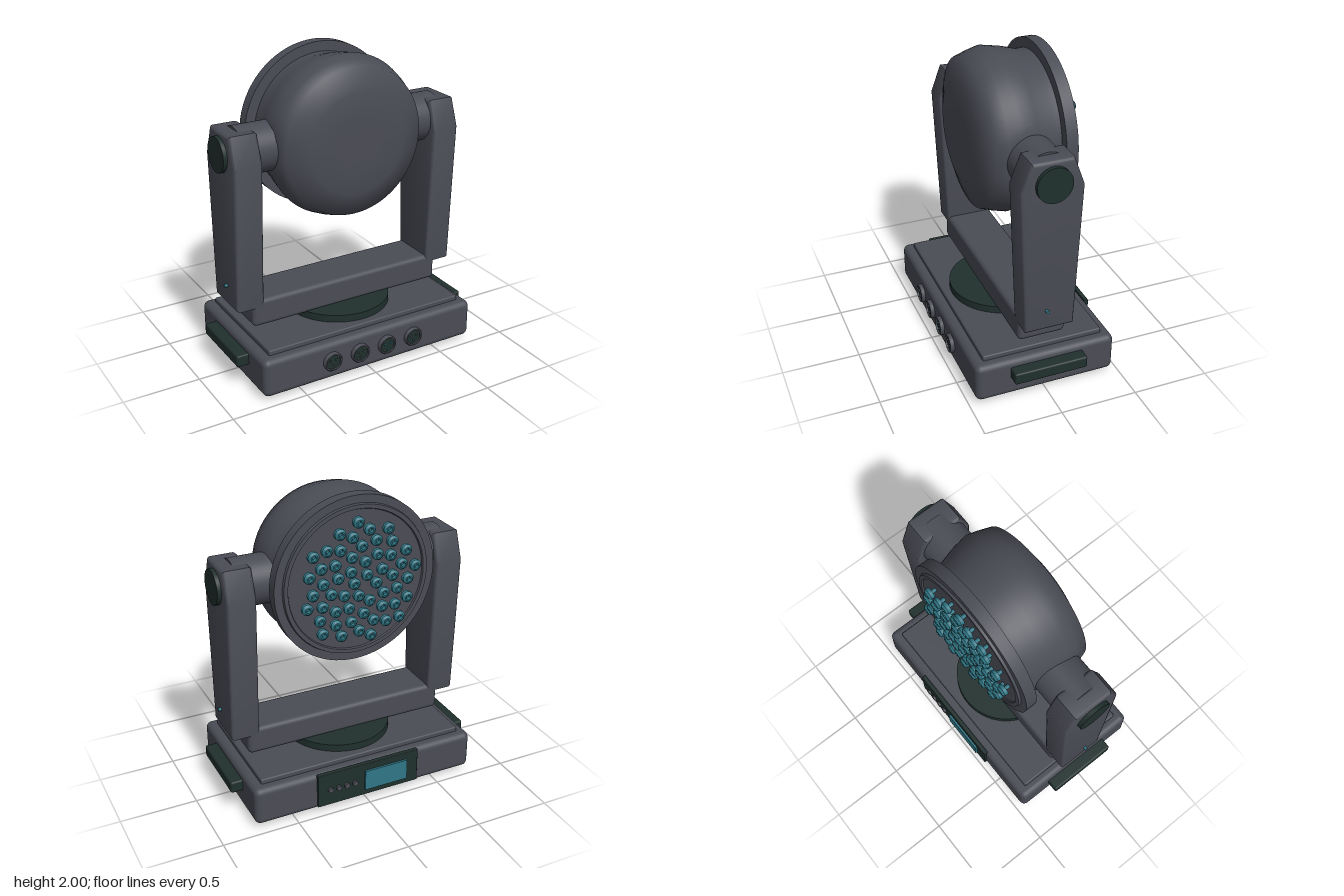
import * as THREE from 'three';
import { RoundedBoxGeometry } from 'three/addons/geometries/RoundedBoxGeometry.js';
import { toCreasedNormals } from 'three/addons/utils/BufferGeometryUtils.js';

const mat = (name, color) => {
  const m = new THREE.MeshStandardMaterial({ color });
  m.name = name;
  return m;
};

export function createModel() {
  const model = new THREE.Group();
  model.name = 'movingHeadLight';
  const housing = mat('housingGrey', 0x4a4c55);
  const dark = mat('darkRubber', 0x20302d);
  const teal = mat('tealGlass', 0x2f7685);

  const add = (name, geo, material, x = 0, y = 0, z = 0) => {
    const mesh = new THREE.Mesh(geo, material);
    mesh.name = name;
    mesh.position.set(x, y, z);
    model.add(mesh);
    return mesh;
  };
  const box = (w, h, d, r) => new RoundedBoxGeometry(w, h, d, 3, r);
  const cyl = (r, h, axis = 'y', n = 40) => {
    const g = new THREE.CylinderGeometry(r, r, h, n);
    if (axis === 'x') g.rotateZ(Math.PI / 2);
    if (axis === 'z') g.rotateX(Math.PI / 2);
    return g;
  };
  // Profile points are [radius, z], listed from back to front
  const latheZ = (pts, n) =>
    new THREE.LatheGeometry(pts.map(p => new THREE.Vector2(...p)), n).rotateX(Math.PI / 2);

  // Base with raised top plate and turntable
  add('base', box(1.53, 0.255, 0.92, 0.04), housing, 0, 0.158, 0);
  add('baseTopPlate', box(1.4, 0.06, 0.79, 0.01), housing, 0, 0.287, 0);
  add('turntable', cyl(0.345, 0.06, 'y', 64), dark, 0, 0.335, 0);
  for (const x of [-0.585, 0.585])
    for (const z of [-0.312, 0.312]) add('foot', cyl(0.073, 0.04), dark, x, 0.02, z);

  // Front sockets: flared rim, dark insert and pins
  const rim = toCreasedNormals(latheZ([
    [0.063, 0.44], [0.063, 0.478], [0.058, 0.486], [0.05, 0.486], [0.048, 0.468],
  ], 32), 0.6);
  [-0.3, -0.1, 0.1, 0.3].forEach((x, i) => {
    add('socketRim', rim, housing, x, 0.16, 0);
    add('socketInsert', cyl(0.05, 0.02, 'z'), dark, x, 0.16, 0.466);
    for (let k = 0; k < 3; k++) {
      const a = Math.PI / 6 + k * Math.PI * 2 / 3;
      add('socketPin', cyl(0.007, 0.01, 'z', 8), i === 2 ? teal : housing,
        x + 0.024 * Math.cos(a), 0.16 + 0.024 * Math.sin(a), 0.479);
    }
  });

  // Rear control panel with screen and buttons
  add('controlPanel', box(0.71, 0.232, 0.03, 0.004), dark, 0, 0.17, -0.462);
  add('screen', new THREE.BoxGeometry(0.3, 0.14, 0.016), teal, -0.12, 0.167, -0.483);
  for (let i = 0; i < 4; i++)
    add('button', cyl(0.018, 0.018, 'z', 16), housing, 0.1 + i * 0.057, 0.167, -0.483);

  // Yoke crossbar
  add('yokeCrossbar', box(1.36, 0.18, 0.31, 0.03), housing, 0, 0.44, 0);

  // Tapered arm outline with chamfered top
  const outline = new THREE.Shape([
    [-0.157, 0.485], [0.157, 0.485], [0.197, 1.43], [0.13, 1.61], [-0.13, 1.61], [-0.197, 1.43],
  ].map(p => new THREE.Vector2(...p)));
  const bevel = 0.02;
  const arm = toCreasedNormals(new THREE.ExtrudeGeometry(outline, {
    depth: 0.185 - 2 * bevel, bevelEnabled: true, bevelThickness: bevel,
    bevelSize: bevel, bevelOffset: -bevel, bevelSegments: 3,
  }).translate(0, 0, bevel - 0.0925).rotateY(Math.PI / 2), 0.6);

  for (const s of [1, -1]) {
    add('yokeArm', arm, housing, s * 0.698, 0, 0);
    add('tiltHub', cyl(0.155, 0.26, 'x', 48), housing, s * 0.572, 1.47, 0);
    add('armCap', cyl(0.111, 0.04, 'x', 40), dark, s * 0.796, 1.47, 0);
    add('statusLight', cyl(0.011, 0.03, 'x', 12), teal, s * 0.795, 0.62, 0.022);
    add('carryHandle', box(0.1, 0.078, 0.48, 0.012), dark, s * 0.793, 0.2, 0);
  }

  // Head shell, flattened where it meets the hubs
  const shell = latheZ([
    [0.465, -0.22], [0.465, -0.15], [0.495, -0.04], [0.515, 0.07],
    [0.497, 0.14], [0.47, 0.22], [0.32, 0.27], [0.16, 0.272], [0, 0.272],
  ], 72);
  const pos = shell.attributes.position;
  for (let i = 0; i < pos.count; i++)
    pos.setX(i, THREE.MathUtils.clamp(pos.getX(i), -0.488, 0.488));
  add('headShell', toCreasedNormals(shell, 1.1), housing, 0, 1.47, 0);

  // Lens bezel with a shallow recessed face
  add('lensBezel', toCreasedNormals(latheZ([
    [0, -0.28], [0.445, -0.28], [0.45, -0.291], [0.475, -0.291], [0.48, -0.275],
    [0.53, -0.275], [0.53, -0.2], [0.44, -0.2],
  ], 72), 0.5), housing, 0, 1.47, 0);

  // Lenses laid out on a sunflower spiral
  const lens = toCreasedNormals(latheZ([
    [0, -0.325], [0.01, -0.328], [0.014, -0.346], [0.022, -0.346], [0.036, -0.333],
    [0.036, -0.311], [0.012, -0.308], [0.012, -0.278],
  ], 16), 0.6);
  const count = 55;
  for (let i = 0; i < count; i++) {
    const r = 0.388 * Math.sqrt((i + 0.5) / count);
    const a = i * Math.PI * (3 - Math.sqrt(5));
    add('lens', lens, teal, r * Math.cos(a), 1.47 + r * Math.sin(a), 0);
  }
  return model;
}
